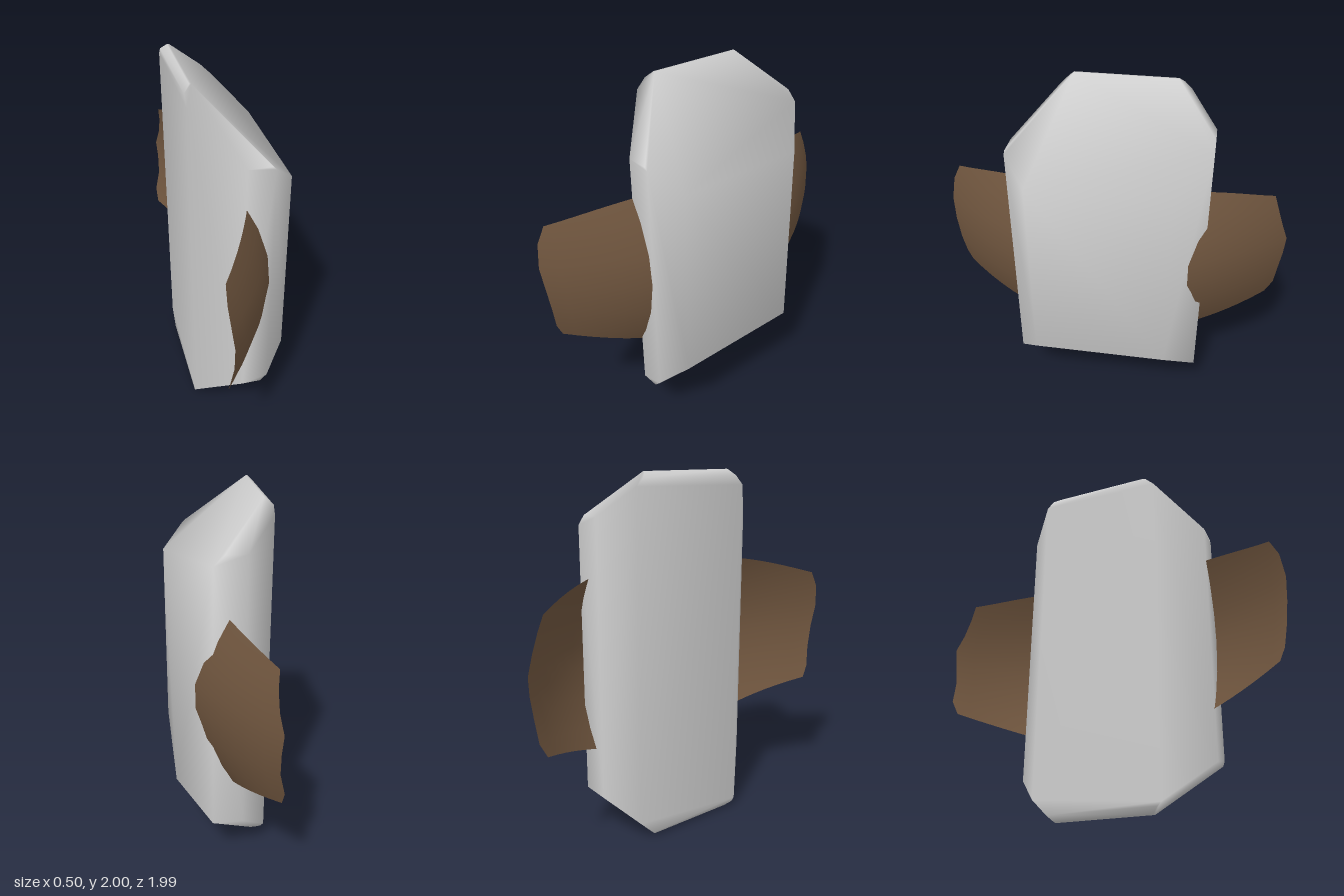
import * as THREE from 'three';
import { ConvexGeometry } from 'three/addons/geometries/ConvexGeometry.js';
import { mergeVertices } from 'three/addons/utils/BufferGeometryUtils.js';

// Block cut by planes [nx, ny, nz, limit]: every corner is where three planes meet
function cutBlock(planes) {
  const list = planes.map(([x, y, z, d]) => ({ n: new THREE.Vector3(x, y, z), d }));
  const points = [];
  const m = new THREE.Matrix3();
  for (let i = 0; i < list.length; i++) {
    for (let j = i + 1; j < list.length; j++) {
      for (let k = j + 1; k < list.length; k++) {
        const [a, b, c] = [list[i], list[j], list[k]];
        m.set(a.n.x, a.n.y, a.n.z, b.n.x, b.n.y, b.n.z, c.n.x, c.n.y, c.n.z);
        if (Math.abs(m.determinant()) < 1e-6) continue;
        const p = new THREE.Vector3(a.d, b.d, c.d).applyMatrix3(m.invert());
        const inside = list.every(({ n, d }) => n.dot(p) <= d + 1e-6);
        if (inside && !points.some((q) => q.distanceTo(p) < 1e-4)) points.push(p);
      }
    }
  }
  let geometry = new ConvexGeometry(points);
  geometry.deleteAttribute('normal');
  geometry = mergeVertices(geometry, 1e-4);
  geometry.computeVertexNormals();
  return geometry;
}

// Wing: domed sheet from inside the body out to a tip outline of [z, y] points
function wingGeometry(tip, innerTop, innerBottom, side) {
  const steps = 8;
  const innerZ = 0.35;
  const positions = [];
  const index = [];
  const top = tip[0][1];
  const bottom = tip[tip.length - 1][1];
  tip.forEach(([tipZ, tipY], row) => {
    const f = (top - tipY) / (top - bottom);
    const innerY = THREE.MathUtils.lerp(innerTop, innerBottom, f);
    for (let i = 0; i <= steps; i++) {
      const u = i / steps;
      const z = THREE.MathUtils.lerp(innerZ, tipZ, u);
      const y = THREE.MathUtils.lerp(innerY, tipY, u) + 0.02 * Math.sin(Math.PI * u) * (1 - f);
      const x = 0.24 - 0.45 * z * z - 0.65 * (y - 1.02) ** 2;
      positions.push(x, y, z * side);
      if (row > 0 && i > 0) {
        const d = row * (steps + 1) + i;
        const [a, b, c] = [d - steps - 2, d - steps - 1, d - 1];
        if (side > 0) index.push(a, b, c, b, d, c);
        else index.push(a, c, b, b, c, d);
      }
    }
  });
  const geometry = new THREE.BufferGeometry();
  geometry.setAttribute('position', new THREE.Float32BufferAttribute(positions, 3));
  // wind the faces so that the bulging side is the front
  for (let i = 0; i < index.length; i += 3) [index[i + 1], index[i + 2]] = [index[i + 2], index[i + 1]];
  geometry.setIndex(index);
  geometry.computeVertexNormals();
  return geometry;
}

export function createModel() {
  const grey = new THREE.MeshStandardMaterial({ color: 0xcfcfcf });
  grey.name = 'light grey';
  const brown = new THREE.MeshStandardMaterial({ color: 0x6f553e, side: THREE.DoubleSide });
  brown.name = 'brown';
  const model = new THREE.Group();
  const add = (name, geometry, material) => {
    const mesh = new THREE.Mesh(geometry, material);
    mesh.name = name;
    model.add(mesh);
  };

  // Body: six flat sides with every edge cut at 45 degrees
  add('body', cutBlock([
    [1, 0, 0, 0.245], [-1, 0, 0, 0.25],
    [0, 1, 0, 2], [0, -1, 0, 0],
    [0, 0, 1, 0.535], [0, 0, -1, 0.535],
    [1, 0, 1, 0.657], [-1, 0, 1, 0.555], [1, 0, -1, 0.597], [-1, 0, -1, 0.64],
    [0, 1, 1, 2.222], [0, 1, -1, 2.32], [0, -1, 1, 0.255], [0, -1, -1, 0.275],
    [1, 1, 0, 1.792], [1, -1, 0, -0.197], [-1, 1, 0, 2.218], [-1, -1, 0, 0.22],
  ]), grey);

  // Wings: tip outlines run from the top corner to the bottom corner
  const frontTip = [[0.93, 1.37], [0.975, 1.28], [0.995, 1.15], [0.985, 1.02], [0.968, 0.88], [0.95, 0.76], [0.92, 0.69]];
  const backTip = [[0.89, 1.365], [0.92, 1.28], [0.955, 1.18], [0.992, 1.08], [0.985, 0.98], [0.97, 0.86], [0.962, 0.74], [0.92, 0.66]];
  add('frontWing', wingGeometry(frontTip, 1.49, 0.5, 1), brown);
  add('backWing', wingGeometry(backTip, 1.49, 0.47, -1), brown);
  return model;
}
